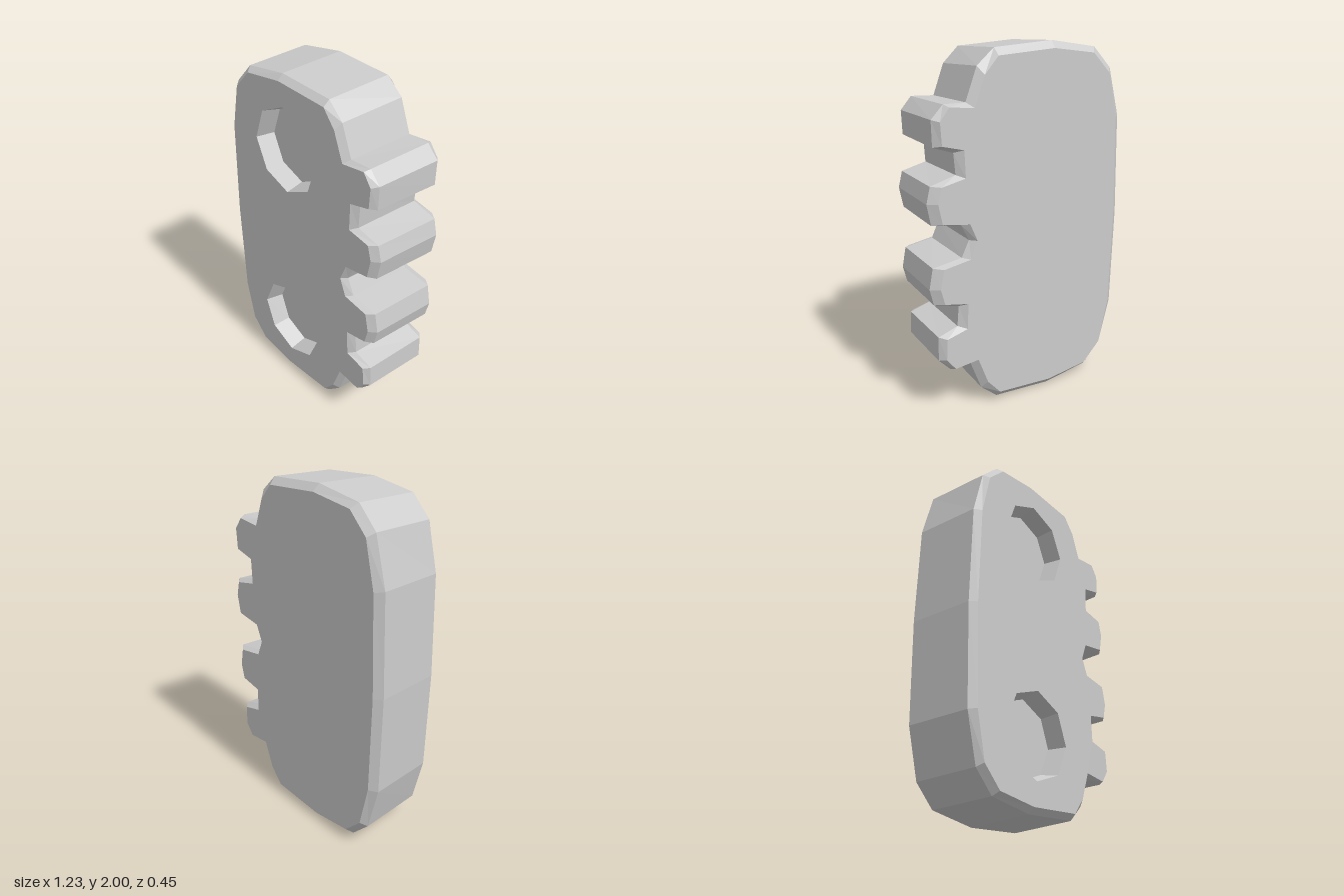
import * as THREE from 'three';

// Upper half of the outline, clockwise from the left middle: x, y, then bevel inset dx, dy
const HALF = [
  [-0.615, 1, 0.052, 0], [-0.6, 1.57, 0.053, -0.01], [-0.53, 1.84, 0.038, -0.03],
  [-0.415, 1.957, 0.032, -0.037], [-0.135, 2, 0.005, -0.048], [0.214, 1.978, -0.006, -0.048],
  [0.314, 1.893, -0.032, -0.053], [0.38, 1.72, -0.04, -0.033],
  // outer tooth
  [0.505, 1.72, -0.02, -0.015], [0.573, 1.65, -0.04, -0.012], [0.57, 1.513, -0.045, 0.01],
  // notch
  [0.455, 1.475, -0.055, 0.018], [0.445, 1.36, -0.05, -0.02],
  // inner tooth
  [0.59, 1.32, -0.06, -0.005], [0.612, 1.23, -0.06, 0], [0.59, 1.115, -0.06, 0.008],
  // centre notch
  [0.42, 1.09, -0.045, 0.008], [0.375, 1, -0.04, 0],
];
const OUTLINE = [
  ...HALF,
  ...HALF.slice(1, -1).reverse().map(([x, y, dx, dy]) => [x, 2 - y, dx, -dy]),
].reverse();

const insetRing = (k) => OUTLINE.map(([x, y, dx, dy]) => new THREE.Vector2(x + dx * k, y + dy * k));

// Octagon around a pocket centre
const octagon = (cy, r, turn) => Array.from({ length: 8 }, (_, i) => {
  const a = (i * Math.PI) / 4 + turn;
  return new THREE.Vector2(-0.098 + r * Math.cos(a), cy + r * Math.sin(a));
});

// Joins counter-clockwise rings [points, z] listed from back to front, facing outward
function loft(rings) {
  const pos = [];
  for (let r = 0; r < rings.length - 1; r++) {
    const [a, za] = rings[r], [b, zb] = rings[r + 1], n = a.length;
    for (let i = 0; i < n; i++) {
      const j = (i + 1) % n;
      pos.push(a[i].x, a[i].y, za, a[j].x, a[j].y, za, b[j].x, b[j].y, zb);
      pos.push(a[i].x, a[i].y, za, b[j].x, b[j].y, zb, b[i].x, b[i].y, zb);
    }
  }
  const g = new THREE.BufferGeometry();
  g.setAttribute('position', new THREE.Float32BufferAttribute(pos, 3));
  g.computeVertexNormals();
  return g;
}

// Flat face at height z, facing front or back
function cap(points, z, holes = [], back = false) {
  const shape = new THREE.Shape(points);
  shape.holes = holes.map((h) => new THREE.Path(h));
  const g = new THREE.ShapeGeometry(shape);
  if (back) g.index.array.reverse();
  g.computeVertexNormals();
  return g.translate(0, 0, z);
}

export function createModel() {
  const group = new THREE.Group();
  group.name = 'toothedPlate';
  const material = new THREE.MeshStandardMaterial({ color: 0xcccccc, flatShading: true });
  const add = (name, geometry) => {
    const mesh = new THREE.Mesh(geometry, material);
    mesh.name = name;
    group.add(mesh);
  };

  const FRONT = 0.223, BACK = -0.226, FLOOR = 0.12;
  const pockets = [[1.578, 0.035], [0.422, -0.035]];

  // Slightly tapered rim with bevels at both faces
  add('bevelledRim', loft([
    [insetRing(0.8), BACK], [insetRing(0), -0.19], [insetRing(0.35), 0.19], [insetRing(1), FRONT],
  ]));
  add('frontFace', cap(insetRing(1), FRONT, pockets.map(([y, t]) => octagon(y, 0.243, t))));
  add('backFace', cap(insetRing(0.8), BACK, [], true));

  // Octagonal recesses
  for (const [y, turn] of pockets) {
    const rim = octagon(y, 0.243, turn), base = octagon(y, 0.22, turn);
    add('pocketWall', loft([[rim, FRONT], [base, FLOOR]]));
    add('pocketFloor', cap(base, FLOOR));
  }
  return group;
}
